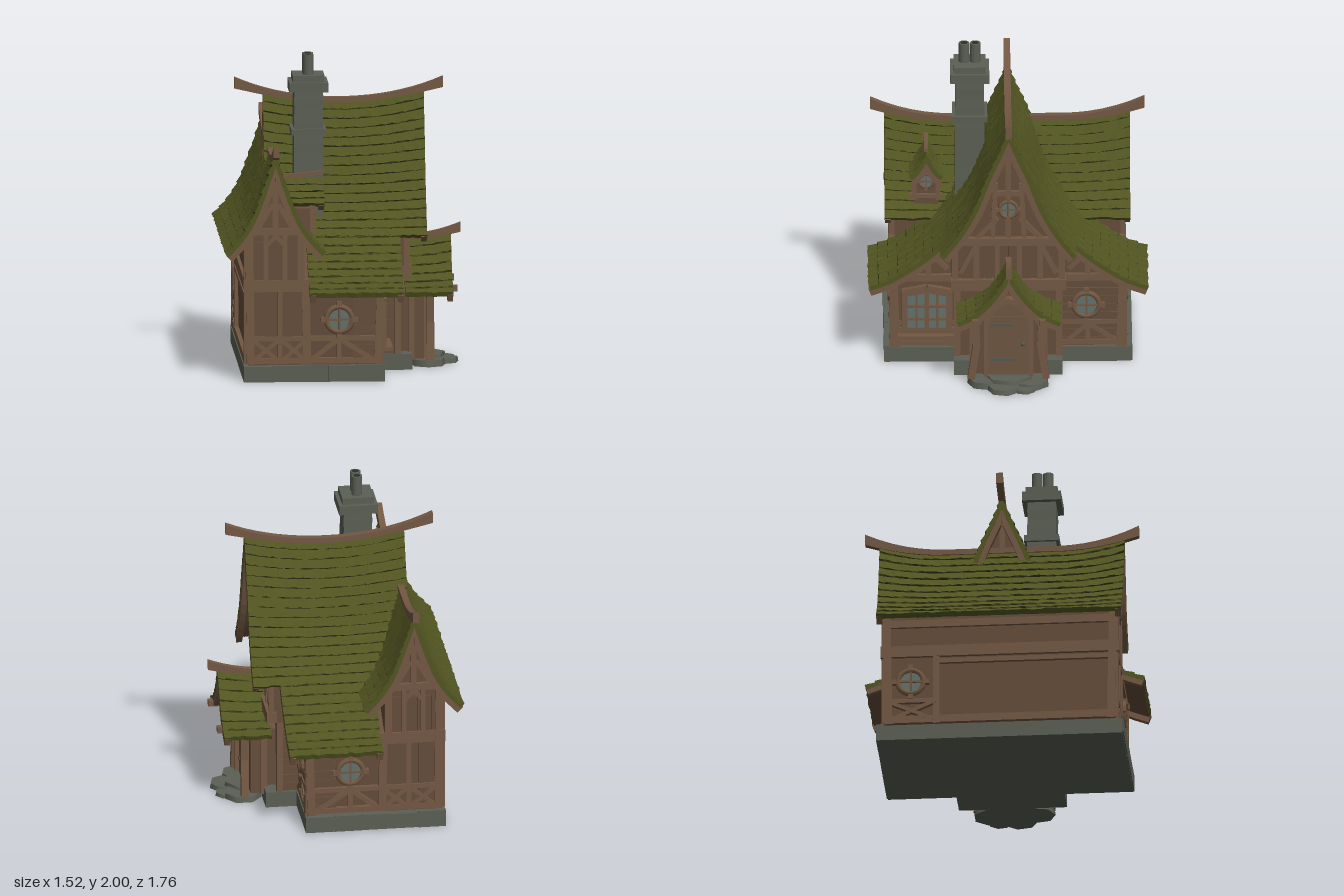
import * as THREE from 'three';

const mat = (name, color) => {
  const m = new THREE.MeshStandardMaterial({ color });
  m.name = name;
  return m;
};
const WOOD = mat('timber', 0x735843), WALL = mat('wallPlank', 0x654d3b), DOOR = mat('doorWood', 0x6e5541);
const MOSS = mat('mossShingle', 0x525521), GAP = mat('shingleShade', 0x3a3d19);
const STONE = mat('stone', 0x5b5f54), DARK = mat('flueDark', 0x2c2e2a);
const GLASS = mat('glass', 0x63716b), IRON = mat('iron', 0x55584e);

let seed = 7;
const rnd = () => (seed = (seed * 16807) % 2147483647) / 2147483647;

function add(parent, name, geo, material, x = 0, y = 0, z = 0) {
  const m = new THREE.Mesh(geo, material);
  m.name = name;
  m.position.set(x, y, z);
  parent.add(m);
  return m;
}
const box = (p, name, m, w, h, d, x, y, z) => add(p, name, new THREE.BoxGeometry(w, h, d), m, x, y, z);
function frame(parent, name, x, y, z, turn) {
  const g = new THREE.Group();
  g.name = name;
  g.position.set(x, y, z);
  g.rotation.y = turn;
  parent.add(g);
  return g;
}

// Symmetric gabled block, half outline given, running along local z
function prism(parent, name, half, z0, z1) {
  const pts = [...half, ...half.slice().reverse().map(([x, y]) => [-x, y])].map(([x, y]) => new THREE.Vector2(x, y));
  add(parent, name, new THREE.ExtrudeGeometry(new THREE.Shape(pts), { depth: z1 - z0, bevelEnabled: false }), WALL, 0, 0, z0);
}

// Curved shingle roof: stepped rows with ragged edges, boarded underside, bargeboards at the given ends
function roof(parent, name, half, z0, z1, rows, sag, boards) {
  const curve = new THREE.CatmullRomCurve3(half.map(([x, y]) => new THREE.Vector3(x, y, 0)));
  const at = (t, off, z) => {
    const p = curve.getPointAt(t), g = curve.getTangentAt(t);
    return [Math.max(0, p.x - g.y * off), p.y + g.x * off + sag(z) * (1 - t), z];
  };
  const cols = Math.ceil((z1 - z0) / 0.03), n = rows * 2;
  for (const s of [1, -1]) {
    const top = [], under = [];
    for (let c = 0; c <= cols; c++) {
      const z = z0 + (z1 - z0) * c / cols, a = [], b = [];
      for (let k = 0; k < n; k++) {
        const low = k % 2, t = ((k + low) / 2 - low * rnd() * 0.16) / rows;
        a.push(at(t, low ? 0.005 + rnd() * 0.008 : 0, z));
        b.push(at(t, -0.025, z));
      }
      top.push(a); under.push(b);
    }
    const faces = [[], [], []];
    const quad = (g, a, b, c, d) => {
      for (const v of s > 0 ? [a, b, c, a, c, d] : [a, c, b, a, d, c]) faces[g].push(v[0] * s, v[1], v[2]);
    };
    for (let c = 0; c < cols; c++) {
      for (let k = 0; k < n - 1; k++) {
        quad(k % 2 && rnd() < 0.55 ? 1 : 0, top[c][k], top[c + 1][k], top[c + 1][k + 1], top[c][k + 1]);
        quad(2, under[c][k], under[c][k + 1], under[c + 1][k + 1], under[c + 1][k]);
      }
      quad(0, top[c][n - 1], top[c + 1][n - 1], under[c + 1][n - 1], under[c][n - 1]);
    }
    for (let k = 0; k < n - 1; k++) {
      quad(0, top[0][k], top[0][k + 1], under[0][k + 1], under[0][k]);
      quad(0, top[cols][k], under[cols][k], under[cols][k + 1], top[cols][k + 1]);
    }
    const geo = new THREE.BufferGeometry();
    geo.setAttribute('position', new THREE.Float32BufferAttribute(faces.flat(), 3));
    let start = 0;
    faces.forEach((f, i) => {
      geo.addGroup(start, f.length / 3, i);
      start += f.length / 3;
    });
    geo.computeVertexNormals();
    add(parent, name, geo, [MOSS, GAP, WALL]);

    for (const z of boards) {
      const ts = Array.from({ length: 13 }, (_, i) => i / 12);
      const line = [...ts.map(t => at(t, -0.008, z)), ...ts.reverse().map(t => at(t, -0.06, z))];
      const shape = new THREE.Shape(line.map(v => new THREE.Vector2(v[0] * s, v[1])));
      add(parent, 'bargeboard', new THREE.ExtrudeGeometry(shape, { depth: 0.036, bevelEnabled: false }), WOOD, 0, 0, z - 0.018);
    }
  }
}

// Curved ridge timber that thickens toward its tips
function ridge(parent, z0, z1, f, w, h) {
  const g = new THREE.BoxGeometry(w, h, z1 - z0, 1, 1, 20).translate(0, 0, (z0 + z1) / 2), p = g.attributes.position;
  const reach = Math.max(Math.abs(z0), Math.abs(z1));
  for (let i = 0; i < p.count; i++) p.setY(i, p.getY(i) * (1 + (p.getZ(i) / reach) ** 4) + f(p.getZ(i)));
  g.computeVertexNormals();
  add(parent, 'ridgeBeam', g, WOOD);
}

// Timber bars on a facade: [u1, v1, u2, v2, width]
function bars(face, list, depth = 0.035) {
  for (const [a, b, c, d, w] of list) {
    const len = Math.hypot(c - a, d - b);
    box(face, 'beam', WOOD, len, w, depth * (0.9 + rnd() * 0.2), (a + c) / 2, (b + d) / 2, 0).rotation.z = Math.atan2(d - b, c - a);
  }
}
const cross = (a, b, c, d, w = 0.025) => [[a, b, c, d, w], [a, d, c, b, w]];
function planks(face, u0, u1, v0, v1, n, flat = false) {
  for (let i = 0; i < n; i++) {
    const w = (u1 - u0) / n, h = (v1 - v0) / n, d = 0.006 + rnd() * 0.012;
    if (flat) box(face, 'plank', WALL, u1 - u0, h * 0.92, d, (u0 + u1) / 2, v0 + h * (i + 0.5), 0);
    else box(face, 'plank', WALL, w * 0.92, v1 - v0, d, u0 + w * (i + 0.5), (v0 + v1) / 2, 0);
  }
}
function roundWindow(face, u, v, r) {
  const g = frame(face, 'roundWindow', u, v, 0.012, 0);
  add(g, 'pane', new THREE.CylinderGeometry(r, r, 0.008, 20).rotateX(Math.PI / 2), GLASS);
  add(g, 'windowRing', new THREE.TorusGeometry(r, r * 0.22, 6, 20), WOOD);
  box(g, 'mullion', WOOD, r * 0.16, r * 2, 0.02, 0, 0, 0.003);
  box(g, 'mullion', WOOD, r * 2, r * 0.16, 0.02, 0, 0, 0.003);
  for (let i = 0; i < 4; i++) {
    const a = i * Math.PI / 2;
    box(g, 'windowBlock', WOOD, r * 0.4, r * 0.4, 0.03, Math.cos(a) * r * 1.25, Math.sin(a) * r * 1.25, 0);
  }
}

export function createModel() {
  const house = new THREE.Group();
  house.name = 'cottage';
  const Q = Math.PI / 2;

  // Stone footing
  box(house, 'footing', STONE, 0.885, 0.1, 1.54, -0.1975, 0.05, 0);
  box(house, 'entranceFooting', STONE, 0.24, 0.1, 0.68, 0.32, 0.05, 0);
  for (let i = 0; i < 5; i++) for (const s of [1, -1])
    box(house, 'footingStone', STONE, 0.174, 0.09 + rnd() * 0.02, 0.03, -0.552 + i * 0.177, 0.055, s * 0.763);
  for (const [x, z, r, h] of [[0.5, 0, 0.17, 0.055], [0.55, 0.15, 0.11, 0.04], [0.56, -0.14, 0.12, 0.035], [0.64, 0.03, 0.11, 0.03], [0.66, -0.1, 0.07, 0.02]])
    add(house, 'stepStone', new THREE.CylinderGeometry(r * 0.94, r, h, 7), STONE, x, h / 2, z);

  // Walls
  const wing = frame(house, 'wing', -0.44, 0, 0, 0), main = frame(house, 'mainHouse', 0, 0, 0, Q);
  prism(wing, 'wingWall', [[0, 1.32], [0.06, 1.13], [0.12, 0.96], [0.18, 0.88], [0.17, 0.1]], -0.72, 0.72);
  prism(main, 'upperHallWall', [[0, 1.6], [0.1, 1.33], [0.2, 1.1], [0.31, 0.93], [0.35, 0.87], [0.35, 0.58]], -0.42, 0.4);
  prism(main, 'lowerHallWall', [[0, 0.6], [0.32, 0.6], [0.32, 0.1]], 0.1, 0.36);
  prism(main, 'sideWall', [[0, 0.9], [0.36, 0.85], [0.55, 0.69], [0.73, 0.58], [0.71, 0.1]], -0.4, 0.22);

  // Roofs and ridges
  const mainSag = x => 0.11 * (x / 0.65) ** 2;
  const wingSag = z => 0.1 * (Math.max(0, Math.abs(z) - 0.35) / 0.5) ** 2;
  const porchSag = x => 0.06 * (Math.max(0, x - 0.4) / 0.36) ** 2;
  roof(main, 'mainRoof', [[0, 1.66], [0.05, 1.54], [0.13, 1.37], [0.23, 1.13], [0.34, 0.96], [0.425, 0.86]], -0.48, 0.53, 15, mainSag, [-0.46, 0.51]);
  roof(main, 'lowerRoof', [[0.38, 0.905], [0.5, 0.79], [0.62, 0.7], [0.75, 0.62], [0.88, 0.57]], -0.23, 0.36, 9, () => 0, [0.34, -0.21]);
  roof(wing, 'wingRoof', [[0, 1.37], [0.05, 1.24], [0.1, 1.11], [0.155, 0.99], [0.22, 0.9], [0.315, 0.81]], -0.77, 0.77, 11, wingSag, [-0.75, 0.75]);
  ridge(main, -0.66, 0.65, x => 1.665 + mainSag(x), 0.042, 0.035);
  ridge(wing, -0.86, 0.86, z => 1.37 + wingSag(z), 0.04, 0.035);

  // Front and back facades
  for (const s of [1, -1]) {
    const f = frame(house, s > 0 ? 'frontFacade' : 'backFacade', 0, 0, s * 0.725, s > 0 ? 0 : Math.PI);
    const flip = l => l.map(([a, b, c, d, w]) => [a * s, b, c * s, d, w]);
    const pl = (a, b, ...r) => planks(f, Math.min(a * s, b * s), Math.max(a * s, b * s), ...r);
    pl(-0.6, -0.25, 0.11, 0.58, 8);
    pl(-0.6, -0.28, 0.63, 0.88, 7);
    pl(0.05, 0.21, 0.11, 0.58, 8, true);
    bars(f, flip([
      [-0.62, 0.13, 0.23, 0.13, 0.035], [-0.64, 0.605, -0.22, 0.605, 0.075], [-0.25, 0.565, 0.24, 0.565, 0.04],
      [-0.6, 0.27, 0.2, 0.27, 0.03], [-0.595, 0.11, -0.605, 0.94, 0.05], [-0.41, 0.11, -0.41, 0.58, 0.03],
      [-0.24, 0.11, -0.25, 0.58, 0.05], [0.205, 0.1, 0.222, 0.6, 0.05], [-0.04, 0.12, -0.04, 0.28, 0.03],
      ...cross(-0.58, 0.13, -0.42, 0.26), ...cross(-0.4, 0.13, -0.25, 0.26), [-0.22, 0.13, -0.05, 0.26, 0.028], [0.18, 0.13, -0.03, 0.26, 0.028],
      [-0.28, 0.64, -0.28, 0.94, 0.045], [-0.5, 0.64, -0.5, 0.93, 0.03], [-0.38, 0.64, -0.38, 0.93, 0.03],
      [-0.6, 0.95, -0.28, 0.95, 0.045], [-0.44, 0.95, -0.44, 1.32, 0.035], [-0.55, 0.97, -0.46, 1.12, 0.03], [-0.33, 0.97, -0.42, 1.12, 0.03],
      [-0.5, 0.86, -0.44, 0.92, 0.025], [-0.38, 0.86, -0.44, 0.92, 0.025],
    ]));
    roundWindow(f, -0.04 * s, 0.39, 0.08);

    // Short return wall between side wall and entrance hall
    const back = frame(house, 'hallReturn', 0, 0, s * 0.325, s > 0 ? 0 : Math.PI);
    planks(back, s > 0 ? 0.23 : -0.35, s > 0 ? 0.35 : -0.23, 0.11, 0.58, 9, true);
  }

  // Left long wall with a broad plain panel
  const left = frame(house, 'leftFacade', -0.615, 0, 0, -Q);
  bars(left, [
    [-0.73, 0.14, 0.73, 0.14, 0.05], [-0.75, 0.61, 0.75, 0.61, 0.075], [-0.72, 0.8, 0.72, 0.8, 0.05],
    [-0.7, 0.11, -0.71, 0.86, 0.05], [0.7, 0.11, 0.71, 0.86, 0.05], [-0.4, 0.11, -0.4, 0.6, 0.04],
    [-0.7, 0.27, -0.4, 0.27, 0.03], [-0.4, 0.54, 0.7, 0.54, 0.03], ...cross(-0.69, 0.14, -0.42, 0.26),
  ], 0.045);
  roundWindow(left, -0.56, 0.4, 0.08);

  // Right side walls beside the entrance (u = -z)
  const right = frame(house, 'rightFacade', 0.225, 0, 0, Q);
  planks(right, 0.32, 0.71, 0.11, 0.56, 8, true);
  planks(right, -0.71, -0.32, 0.11, 0.56, 8);
  for (const s of [1, -1]) bars(right, [
    [s * 0.32, 0.13, s * 0.72, 0.13, 0.035], [s * 0.32, 0.58, s * 0.75, 0.58, 0.045], [s * 0.7, 0.1, s * 0.72, 0.6, 0.05],
    [s * 0.32, 0.27, s * 0.7, 0.27, 0.028], [s * 0.5, 0.6, s * 0.5, 0.73, 0.035], [s * 0.38, 0.64, s * 0.48, 0.74, 0.03],
  ]);
  bars(right, [[0.36, 0.13, 0.5, 0.26, 0.028], [0.69, 0.13, 0.5, 0.26, 0.028], [0.5, 0.12, 0.5, 0.27, 0.028]]);
  roundWindow(right, 0.49, 0.39, 0.08);
  const win = frame(right, 'casementWindow', -0.51, 0.36, 0.01, 0);
  box(win, 'pane', GLASS, 0.26, 0.25, 0.02, 0, -0.01, 0);
  bars(win, [
    [-0.14, -0.15, -0.14, 0.13, 0.04], [0.14, -0.15, 0.14, 0.13, 0.04], [-0.15, 0.12, 0, 0.15, 0.05], [0.15, 0.12, 0, 0.15, 0.05],
    [-0.17, -0.14, 0.17, -0.14, 0.04], [0, -0.14, 0, 0.14, 0.03], [-0.065, -0.14, -0.065, 0.14, 0.014], [0.065, -0.14, 0.065, 0.14, 0.014],
    [-0.14, 0.03, 0.14, 0.03, 0.018], [-0.14, -0.06, 0.14, -0.06, 0.014],
  ], 0.05);
  box(win, 'flowerLedge', WOOD, 0.36, 0.025, 0.07, 0, -0.17, 0.03);

  // Entrance gable above the porch
  const gable = frame(house, 'entranceGable', 0.405, 0, 0, Q);
  planks(gable, -0.3, 0.3, 0.63, 0.9, 12);
  bars(gable, [[-0.36, 0.62, 0.36, 0.62, 0.075], [-0.31, 0.92, 0.31, 0.92, 0.05]], 0.06);
  for (const s of [1, -1]) bars(gable, [
    [s * 0.335, 0.6, s * 0.335, 0.88, 0.04], [s * 0.2, 0.64, s * 0.2, 0.9, 0.035], [s * 0.07, 0.64, s * 0.07, 0.9, 0.03],
    [s * 0.3, 0.7, s * 0.21, 0.88, 0.03], [s * 0.2, 0.94, s * 0.07, 1.08, 0.03], [s * 0.1, 0.94, s * 0.08, 1.32, 0.03],
  ]);
  bars(gable, [[0, 0.94, 0, 1.06, 0.035], [-0.1, 1.25, 0.1, 1.25, 0.035], [0, 1.22, 0, 1.56, 0.035]]);
  roundWindow(gable, 0, 1.14, 0.055);
  for (const s of [1, -1]) box(house, 'hallPost', WOOD, 0.04, 0.5, 0.04, 0.35, 0.35, s * 0.32);
  const rear = frame(house, 'rearPeak', -0.425, 0, 0, -Q);
  bars(rear, [[0, 1.3, 0, 1.56, 0.035], [-0.1, 1.37, 0.1, 1.37, 0.03]]);

  // Porch with arched door
  const porch = frame(house, 'porch', 0, 0, 0, Q);
  roof(porch, 'porchRoof', [[0, 0.785], [0.05, 0.7], [0.12, 0.61], [0.21, 0.53], [0.33, 0.48]], 0.4, 0.7, 7, porchSag, [0.68]);
  ridge(porch, 0.38, 0.76, x => 0.79 + porchSag(x), 0.035, 0.03);
  prism(porch, 'porchWall', [[0, 0.71], [0.06, 0.62], [0.13, 0.54], [0.21, 0.48], [0.22, 0.05]], 0.35, 0.52);
  const arch = (w, top) => {
    const s = new THREE.Shape();
    s.moveTo(-w, 0.05); s.lineTo(w, 0.05); s.lineTo(w, top - 0.15);
    s.quadraticCurveTo(w * 0.85, top - 0.03, 0, top); s.quadraticCurveTo(-w * 0.85, top - 0.03, -w, top - 0.15);
    return s;
  };
  const frameShape = arch(0.155, 0.59);
  frameShape.holes.push(arch(0.125, 0.555));
  add(porch, 'doorFrame', new THREE.ExtrudeGeometry(frameShape, { depth: 0.05, bevelEnabled: false }), WOOD, 0, 0, 0.52);
  add(porch, 'door', new THREE.ExtrudeGeometry(arch(0.125, 0.555), { depth: 0.02, bevelEnabled: false }), DOOR, 0, 0, 0.52);
  for (let i = -2; i <= 2; i++) box(porch, 'doorPlank', DOOR, 0.043, 0.4, 0.008, i * 0.048, 0.255, 0.543);
  for (const y of [0.16, 0.4]) box(porch, 'hinge', IRON, 0.15, 0.018, 0.008, -0.04, y, 0.55);
  add(porch, 'doorKnob', new THREE.SphereGeometry(0.014, 10, 8), IRON, 0.09, 0.27, 0.555);
  for (const s of [1, -1]) {
    const side = frame(porch, 'porchPosts', 0, 0, 0.56, 0);
    bars(side, [[s * 0.235, 0.04, s * 0.2, 0.28, 0.045], [s * 0.2, 0.27, s * 0.21, 0.5, 0.045], [s * 0.2, 0.42, s * 0.07, 0.62, 0.035]], 0.045);
    box(porch, 'eaveBeam', WOOD, 0.04, 0.04, 0.34, s * 0.21, 0.495, 0.56);
    box(porch, 'rearPost', WOOD, 0.04, 0.44, 0.04, s * 0.225, 0.27, 0.44);
  }

  // Dormer on the wing roof
  const dormer = frame(house, 'dormer', 0, 0, 0.51, Q);
  roof(dormer, 'dormerRoof', [[0, 1.255], [0.035, 1.19], [0.065, 1.14], [0.105, 1.1]], -0.42, -0.125, 4, () => 0, [-0.145]);
  ridge(dormer, -0.42, -0.12, x => 1.265 + 0.03 * ((x + 0.42) / 0.3) ** 2, 0.025, 0.022);
  prism(dormer, 'dormerWall', [[0, 1.2], [0.04, 1.12], [0.07, 1.07], [0.075, 0.88]], -0.42, -0.2);
  const dface = frame(dormer, 'dormerFace', 0, 0, -0.198, 0);
  bars(dface, [[-0.075, 0.92, -0.075, 1.1, 0.03], [0.075, 0.92, 0.075, 1.1, 0.03], [-0.1, 0.945, 0.1, 0.945, 0.025], [0, 1.11, 0, 1.2, 0.025]]);
  roundWindow(dface, 0, 1.05, 0.045);

  // Chimney
  const ch = frame(house, 'chimney', -0.21, 0, 0.237, 0);
  const stack = new THREE.BoxGeometry(0.185, 0.95, 0.185, 2, 14, 2), sp = stack.attributes.position;
  for (let i = 0; i < sp.count; i++) {
    const y = sp.getY(i), k = 1 + 0.03 * Math.sin(y * 47) - 0.07 * y;
    sp.setXYZ(i, sp.getX(i) * k, y, sp.getZ(i) * k);
  }
  const flat = stack.toNonIndexed();
  flat.computeVertexNormals();
  add(ch, 'chimneyStack', flat, STONE, 0, 1.31, 0);
  box(ch, 'chimneyBand', STONE, 0.22, 0.04, 0.22, 0, 1.515, 0);
  box(ch, 'chimneyCap', STONE, 0.245, 0.06, 0.245, 0, 1.8, 0);
  box(ch, 'chimneyCapTop', STONE, 0.2, 0.045, 0.2, 0, 1.85, 0);
  for (const s of [1, -1]) {
    add(ch, 'chimneyPot', new THREE.CylinderGeometry(0.034, 0.034, 0.14, 12), STONE, 0, 1.929, s * 0.035);
    add(ch, 'flue', new THREE.CylinderGeometry(0.022, 0.022, 0.004, 12), DARK, 0, 1.998, s * 0.035);
  }
  return house;
}
